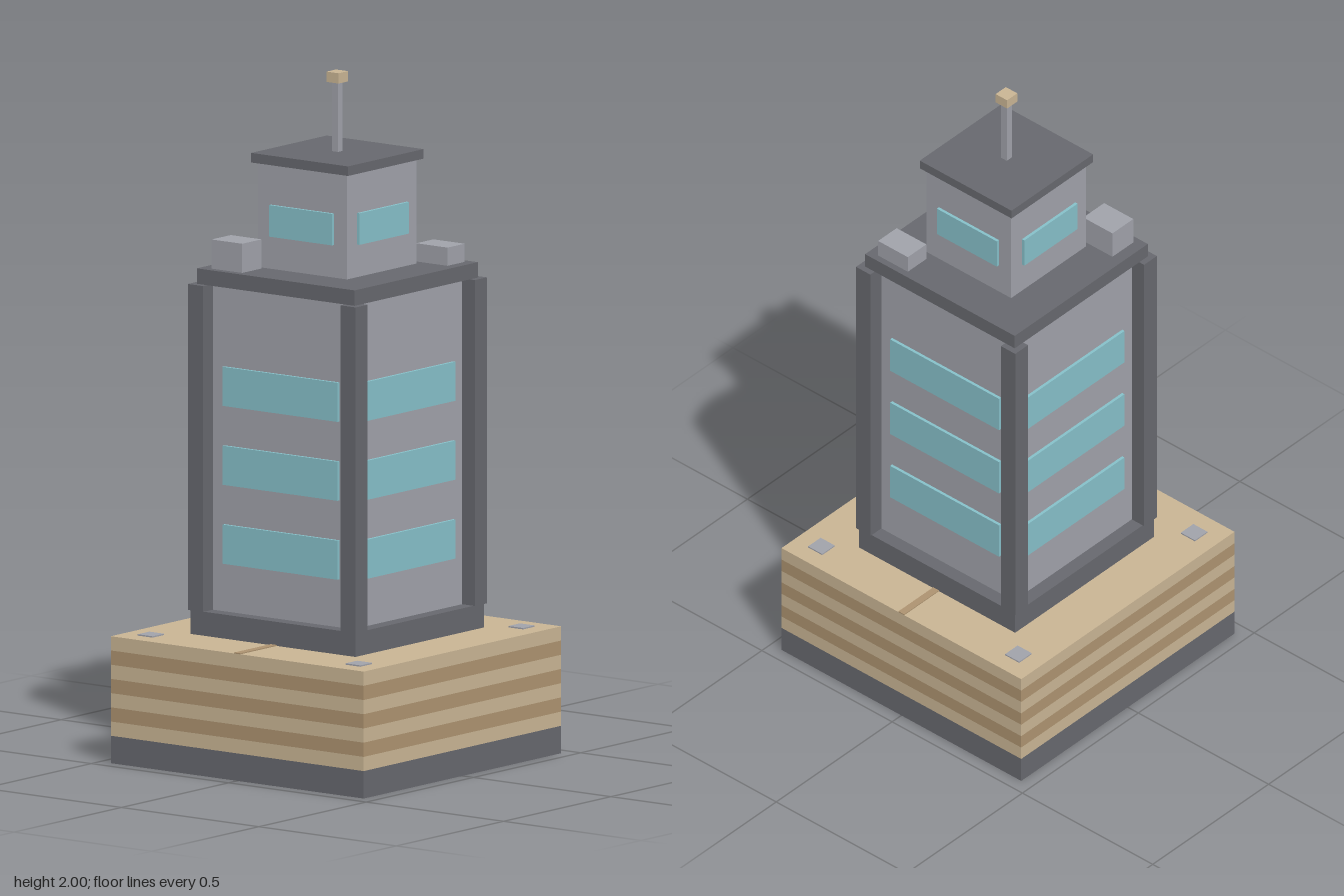
import * as THREE from 'three';

const mat = (name, color) => {
  const m = new THREE.MeshStandardMaterial({ color });
  m.name = name;
  return m;
};

export function createModel() {
  const dark = mat('dark grey', 0x67686e);
  const grey = mat('light grey', 0xa0a2aa);
  const tan = mat('sandstone', 0xc9b594);
  const brown = mat('brown stone', 0xad9370);
  const glass = mat('teal glass', 0x86c0c9);

  const model = new THREE.Group();
  model.name = 'towerBuilding';

  // Box standing on y0, reaching y1, centred on x and z
  const box = (parent, name, material, w, d, y0, y1, x = 0, z = 0) => {
    const mesh = new THREE.Mesh(new THREE.BoxGeometry(w, y1 - y0, d), material);
    mesh.name = name;
    mesh.position.set(x, (y0 + y1) / 2, z);
    parent.add(mesh);
    return mesh;
  };

  // Podium: dark plinth with alternating stone courses
  box(model, 'plinth', dark, 0.92, 0.92, 0, 0.08);
  const course = 0.29 / 7;
  for (let i = 0; i < 7; i++) {
    const y = 0.08 + i * course;
    box(model, 'stoneCourse', i % 2 ? brown : tan, 0.92, 0.92, y, y + course);
  }

  // Path and corner pads laid on the podium
  box(model, 'path', brown, 0.022, 0.92, 0.37, 0.373);
  for (const x of [-0.378, 0.378])
    for (const z of [-0.38, 0.378]) box(model, 'cornerPad', grey, 0.054, 0.054, 0.37, 0.374, x, z);

  // Tower stands slightly off the podium's centre
  const tower = new THREE.Group();
  tower.name = 'tower';
  tower.position.set(-0.003, 0, -0.01);
  model.add(tower);

  // The same window on all four sides of a square block
  const windows = (name, width, y0, y1, half) => {
    for (let i = 0; i < 4; i++) {
      const side = new THREE.Group();
      side.name = name;
      side.rotation.y = i * Math.PI / 2;
      box(side, name + 'Pane', glass, width, 0.009, y0, y1, 0, half + 0.0045);
      tower.add(side);
    }
  };

  // Main shaft
  box(tower, 'towerBase', dark, 0.6, 0.6, 0.37, 0.44);
  box(tower, 'towerWall', grey, 0.516, 0.516, 0.44, 1.39);
  for (const x of [-1, 1])
    for (const z of [-1, 1]) box(tower, 'cornerColumn', dark, 0.055, 0.055, 0.44, 1.39, x * 0.278, z * 0.278);
  for (const y of [0.58, 0.81, 1.04]) windows('towerWindow', 0.418, y, y + 0.114, 0.258);
  box(tower, 'cornice', dark, 0.574, 0.574, 1.39, 1.435);

  // Penthouse
  box(tower, 'penthouseWall', grey, 0.324, 0.324, 1.435, 1.74);
  windows('penthouseWindow', 0.23, 1.53, 1.622, 0.162);
  box(tower, 'penthouseRoof', dark, 0.352, 0.352, 1.74, 1.768);

  // Rooftop units
  box(tower, 'rooftopUnit', grey, 0.112, 0.09, 1.435, 1.52, -0.195, 0.22);
  box(tower, 'rooftopUnit', grey, 0.114, 0.08, 1.435, 1.488, 0.198, -0.227);

  // Mast
  box(tower, 'mast', grey, 0.022, 0.022, 1.768, 1.97);
  box(tower, 'mastTip', tan, 0.044, 0.044, 1.97, 2);

  return model;
}
